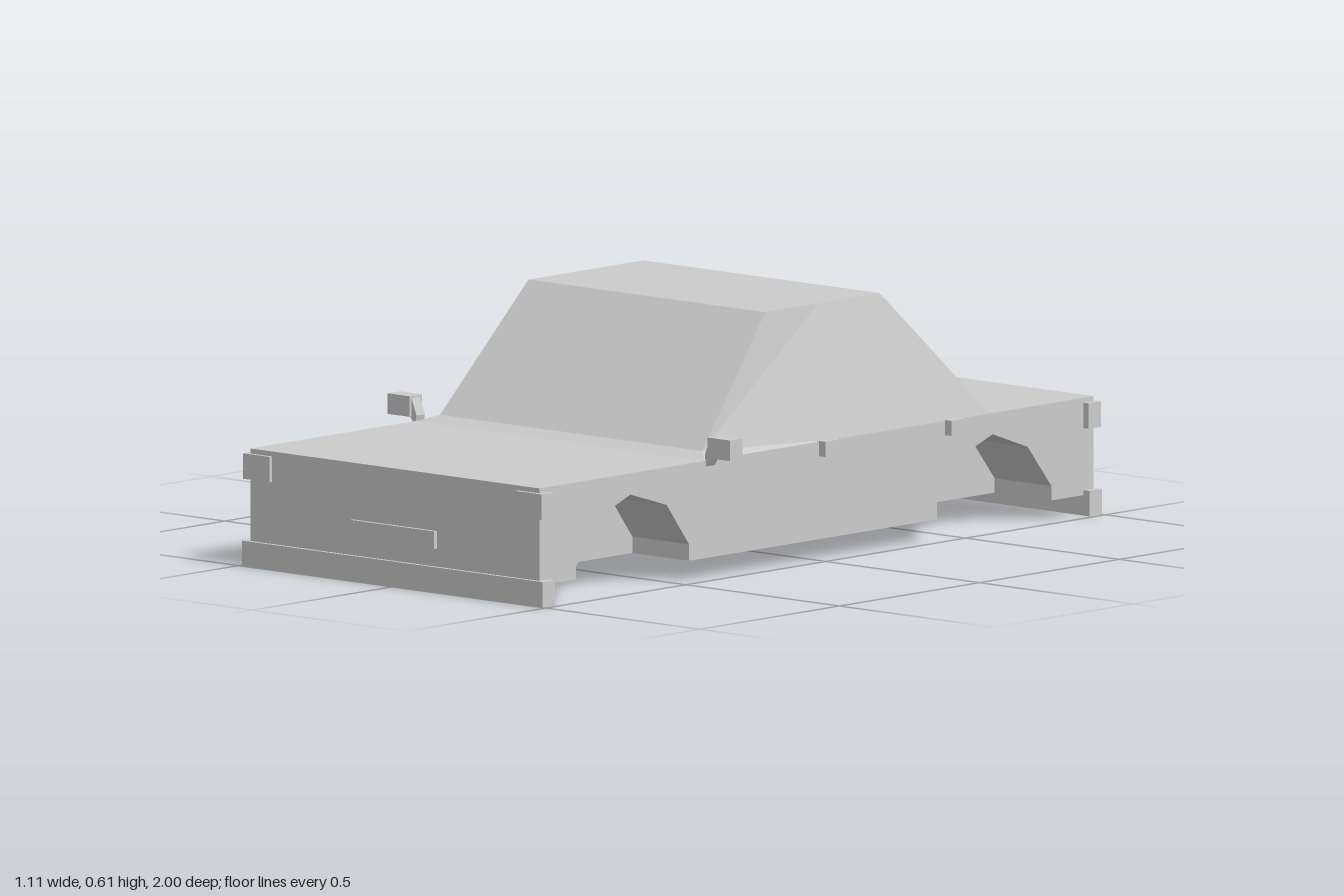
import * as THREE from 'three';

const material = new THREE.MeshStandardMaterial({ color: 0xcccccc, flatShading: true });

function add(group, name, geometry) {
  const mesh = new THREE.Mesh(geometry, material);
  mesh.name = name;
  group.add(mesh);
  return mesh;
}

// Box given by its minimum and maximum corners
function addBox(group, name, x0, x1, y0, y1, z0, z1) {
  add(group, name, new THREE.BoxGeometry(x1 - x0, y1 - y0, z1 - z0))
    .position.set((x0 + x1) / 2, (y0 + y1) / 2, (z0 + z1) / 2);
}

// Side profile in (z, y), extruded across the car from x0 to x1
function profileGeometry(points, x0, x1) {
  const shape = new THREE.Shape(points.map(([z, y]) => new THREE.Vector2(z, y)));
  return new THREE.ExtrudeGeometry(shape, { depth: x1 - x0, bevelEnabled: false })
    .rotateY(-Math.PI / 2).translate(x1, 0, 0);
}

// Lower body: a solid core with arched flanks either side
function buildBody() {
  const body = new THREE.Group();
  body.name = 'body';
  const half = 0.47, inner = 0.285, low = 0.05, top = 0.287, end = 0.99;
  const rearArch = [[-0.84, low], [-0.84, 0.085], [-0.755, 0.19], [-0.63, 0.235],
    [-0.505, 0.19], [-0.43, 0.09], [-0.43, low]];
  const frontArch = [[0.455, low], [0.455, 0.09], [0.535, 0.195], [0.665, 0.235],
    [0.79, 0.187], [0.86, 0.08], [0.86, low]];
  const flank = [[-end, low], ...rearArch, ...frontArch, [end, low], [end, top], [-end, top]];
  addBox(body, 'bodyCore', -inner, inner, low, top, -end, end);
  add(body, 'leftFlank', profileGeometry(flank, inner, half));
  add(body, 'rightFlank', profileGeometry(flank, -half, -inner));
  return body;
}

// Cabin: folded side panels joined by windscreen, cowl, roof and rear window
function buildCabin() {
  const roofFront = [0.385, 0.605, 0.09], roofMid = [0.385, 0.605, -0.1];
  const roofRear = [0.385, 0.605, -0.32], screenBase = [0.427, 0.302, 0.36];
  const cowl = [0.47, 0.286, 0.4], sill = [0.47, 0.286, -0.08], rearBase = [0.47, 0.286, -0.62];
  const flip = ([x, y, z]) => [-x, y, z];
  const positions = [];
  const triangle = (a, b, c) => positions.push(...a, ...b, ...c);
  const quad = (a, b, c, d) => { triangle(a, b, c); triangle(a, c, d); };

  const side = [[roofFront, screenBase, roofMid], [screenBase, sill, roofMid],
    [screenBase, cowl, sill], [sill, rearBase, roofRear], [sill, roofRear, roofMid]];
  for (const [a, b, c] of side) {
    triangle(a, b, c);
    triangle(flip(a), flip(c), flip(b));
  }
  const strip = [rearBase, roofRear, roofFront, screenBase, cowl];
  for (let i = 0; i < strip.length - 1; i++) {
    const a = strip[i], b = strip[i + 1];
    quad(flip(b), b, a, flip(a));
  }
  const geometry = new THREE.BufferGeometry();
  geometry.setAttribute('position', new THREE.Float32BufferAttribute(positions, 3));
  geometry.computeVertexNormals();
  return geometry;
}

// Wing mirror on a short slanted stalk
function buildMirror(s) {
  const mirror = new THREE.Group();
  mirror.name = s > 0 ? 'leftMirror' : 'rightMirror';
  const xs = [0.485 * s, 0.557 * s].sort((a, b) => a - b);
  addBox(mirror, 'mirrorHousing', xs[0], xs[1], 0.296, 0.346, 0.36, 0.405);
  const stalk = new THREE.Shape([[0.487, 0.346], [0.469, 0.3], [0.474, 0.274], [0.49, 0.297]]
    .map(([x, y]) => new THREE.Vector2(x * s, y)));
  add(mirror, 'mirrorStalk', new THREE.ExtrudeGeometry(stalk, { depth: 0.03, bevelEnabled: false }))
    .position.z = 0.368;
  return mirror;
}

export function createModel() {
  const car = new THREE.Group();
  car.name = 'car';
  car.add(buildBody());
  add(car, 'cabin', buildCabin());

  // Bumper, plate and corner lamps at each end
  for (const e of [1, -1]) {
    const end = e > 0 ? 'front' : 'rear';
    const span = (a, b) => [a * e, b * e].sort((p, q) => p - q);
    addBox(car, end + 'Bumper', -0.489, 0.489, 0, 0.062, ...span(0.955, 1));
    addBox(car, end + 'Plate', -0.136, 0.136, 0.106, 0.149, ...span(0.98, 1));
    for (const s of [1, -1]) {
      const x = [0.4 * s, 0.486 * s].sort((p, q) => p - q);
      addBox(car, end + 'Lamp', ...x, 0.213, 0.275, ...span(0.955, 1));
    }
  }

  // Mirrors and door handles on each side
  for (const s of [1, -1]) {
    car.add(buildMirror(s));
    const x = [0.46 * s, 0.49 * s].sort((p, q) => p - q);
    for (const z of [-0.035, -0.485]) {
      addBox(car, 'doorHandle', ...x, 0.252, 0.289, z - 0.025, z + 0.025);
    }
  }
  return car;
}
